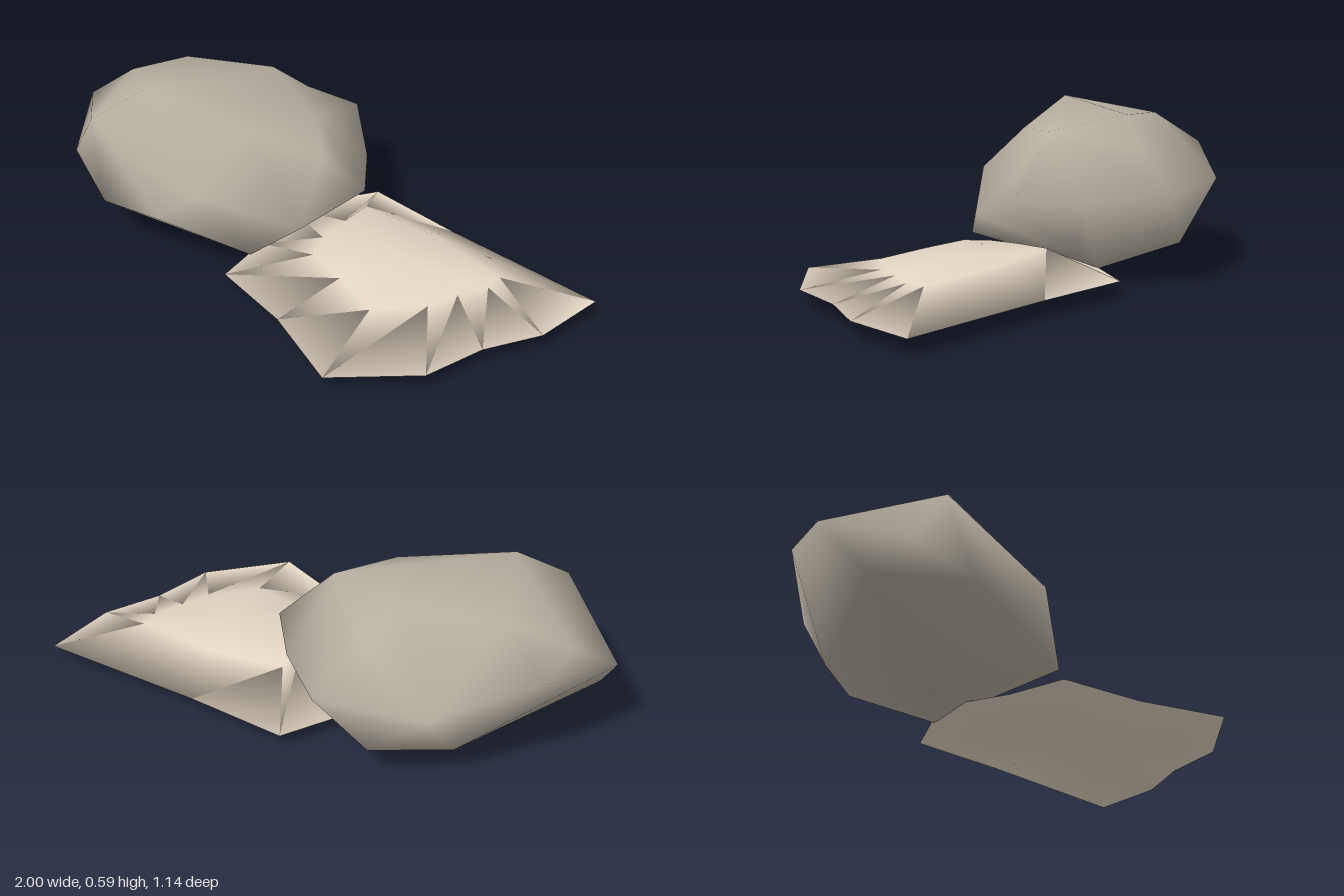
import * as THREE from 'three';
import { mergeVertices } from 'three/addons/utils/BufferGeometryUtils.js';
import { ConvexGeometry } from 'three/addons/geometries/ConvexGeometry.js';

const stone = new THREE.MeshStandardMaterial({ name: 'grey stone', color: 0xb6aea0 });
const sand = new THREE.MeshStandardMaterial({ name: 'pale sand', color: 0xe3d6c4 });

// Boulder corners, from the crown down to the foot
const corners = [
  [-0.6, 0.59, 0.1], [-0.32, 0.57, -0.3], [-0.66, 0.54, -0.25], [-0.04, 0.53, -0.14],
  [-0.2, 0.515, 0.05], [-0.76, 0.475, 0.21], [-0.23, 0.465, -0.4], [-0.87, 0.455, -0.19],
  [-0.82, 0.42, -0.36], [0.02, 0.41, -0.08], [-1, 0.36, -0.1], [-0.28, 0.345, 0.27],
  [-0.5, 0.34, -0.57], [-0.12, 0.335, -0.575], [0.17, 0.305, -0.115], [0.06, 0.3, -0.33],
  [-0.88, 0.285, 0.165], [0.04, 0.23, 0.11], [-0.44, 0.21, 0.288], [-0.68, 0.19, 0.27],
  [-0.93, 0.172, 0.05], [-0.29, 0.137, -0.525], [-0.1, 0.132, 0.21], [-0.55, 0.13, -0.42],
  [-0.03, 0.11, -0.25], [-0.1, 0.055, -0.3], [-0.37, 0, -0.11],
];

function boulderGeometry() {
  const centre = new THREE.Vector3(-0.42, 0.3, -0.15);
  const radii = new THREE.Vector3(0.58, 0.3, 0.43);
  // Hull of slightly rounded corners, so that shallow dents keep their corners too
  const real = corners.map((c) => new THREE.Vector3(...c));
  const rounded = real.map((p) => {
    const q = p.clone().sub(centre).divide(radii).normalize().multiply(radii).add(centre);
    return p.clone().lerp(q, 0.3);
  });
  const hull = new ConvexGeometry(rounded);
  // Put every hull vertex back on its real corner
  const pos = hull.getAttribute('position');
  const v = new THREE.Vector3();
  for (let i = 0; i < pos.count; i++) {
    v.fromBufferAttribute(pos, i);
    let best = 0;
    rounded.forEach((r, k) => {
      if (r.distanceToSquared(v) < rounded[best].distanceToSquared(v)) best = k;
    });
    pos.setXYZ(i, real[best].x, real[best].y, real[best].z);
  }
  hull.deleteAttribute('normal');
  const smooth = mergeVertices(hull);
  smooth.computeVertexNormals();
  return smooth;
}

// Mound rim (x, z) at ground height, and the shoulder ring (x, y, z) inside it
const GROUND = 0.058;
const rim = [
  [-0.17, 0.27], [0.12, 0.39], [0.4, 0.57], [0.68, 0.39], [0.78, 0.18], [0.92, 0.01],
  [1, -0.25], [0.4, -0.37], [0.04, -0.46], [-0.2, -0.2], [-0.16, 0.05],
];
const shoulder = [
  [0.1, 0.15, 0.12], [0.24, 0.142, 0.18], [0.4, 0.125, 0.26], [0.56, 0.13, 0.15],
  [0.62, 0.135, 0.05], [0.69, 0.135, -0.04], [0.7, 0.135, -0.11], [0.4, 0.15, -0.2],
  [0.12, 0.16, -0.22], [0.1, 0.16, -0.1], [0.08, 0.155, 0.02],
];

// Closed mound: slope, crown and flat underside share the rim, so it shades softly
function moundGeometry() {
  const n = rim.length;
  const crown = 2 * n;
  const under = crown + 1;
  const points = [
    ...rim.map(([x, z]) => [x, GROUND, z]), ...shoulder,
    [0.38, 0.152, 0], [0.38, GROUND, 0],
  ];
  const index = [];
  for (let i = 0; i < n; i++) {
    const j = (i + 1) % n;
    index.push(i, j, n + j, i, n + j, n + i);
    index.push(n + i, n + j, crown);
    index.push(j, i, under);
  }
  const g = new THREE.BufferGeometry();
  g.setAttribute('position', new THREE.Float32BufferAttribute(points.flat(), 3));
  g.setIndex(index);
  g.computeVertexNormals();
  return g;
}

function addMesh(parent, name, geometry, material) {
  const mesh = new THREE.Mesh(geometry, material);
  mesh.name = name;
  parent.add(mesh);
}

export function createModel() {
  const model = new THREE.Group();
  model.name = 'boulderAndSand';
  addMesh(model, 'boulder', boulderGeometry(), stone);
  addMesh(model, 'sandMound', moundGeometry(), sand);
  return model;
}
